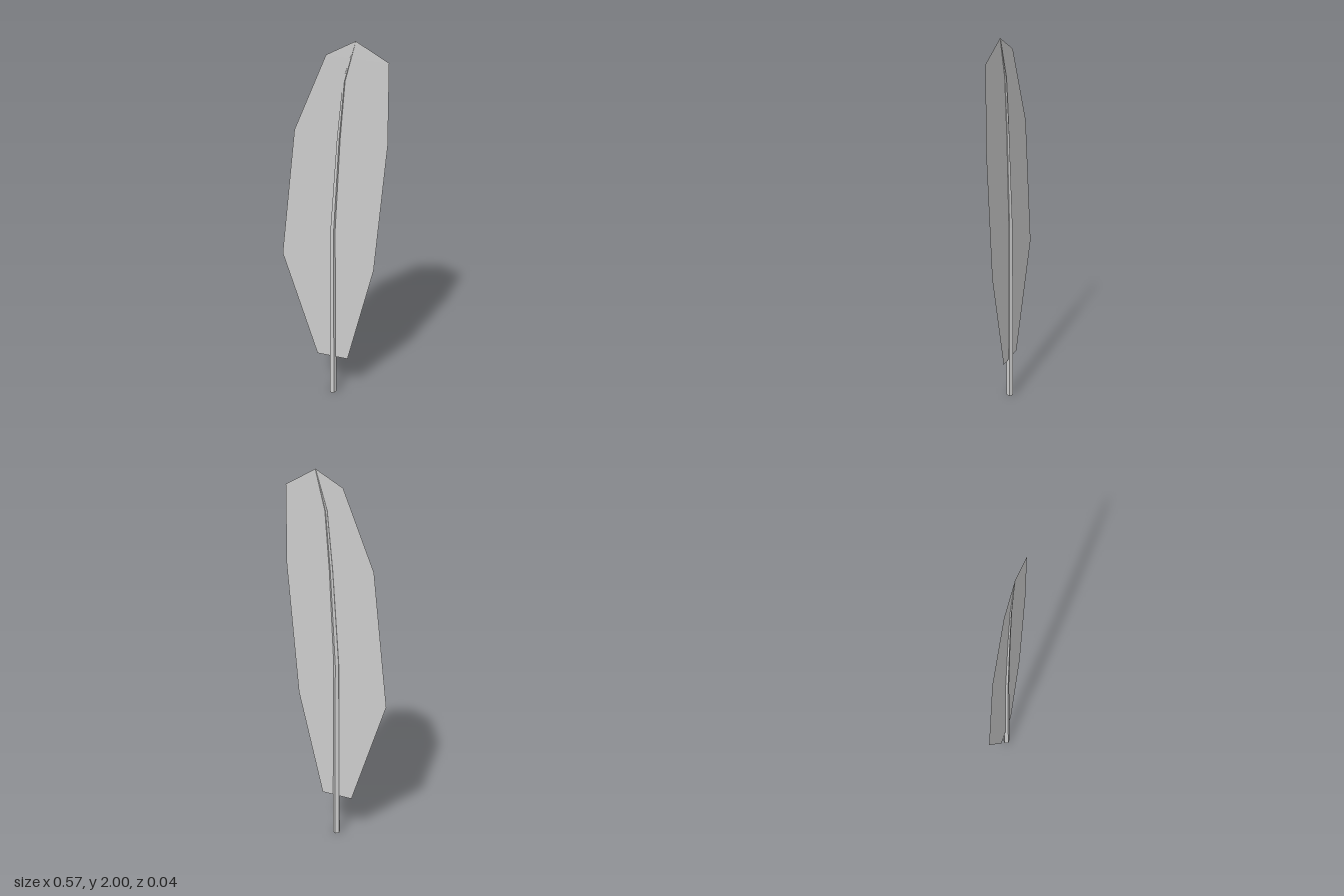
import * as THREE from 'three';

export function createModel() {
  const model = new THREE.Group();
  model.name = 'feather';

  const grey = new THREE.MeshStandardMaterial({ color: 0xcccccc, flatShading: true, side: THREE.DoubleSide });
  grey.name = 'feather grey';

  // Shaft: five-sided tube, bent and tapered ring by ring
  const rings = [ // height, x offset, radius
    [0, 0, 0.02],
    [1, 0, 0.015],
    [1.5, 0.03, 0.01],
    [1.8, 0.057, 0.007],
    [2, 0.115, 0.001],
  ];
  const last = rings.length - 1;
  const shaftGeo = new THREE.CylinderGeometry(1, 1, last, 5, last, false, Math.PI);
  const pos = shaftGeo.attributes.position;
  for (let i = 0; i < pos.count; i++) {
    const [y, x, r] = rings[Math.round(pos.getY(i) + last / 2)];
    pos.setXYZ(i, x + pos.getX(i) * r, y, pos.getZ(i) * r);
  }
  shaftGeo.computeVertexNormals();
  const shaft = new THREE.Mesh(shaftGeo, grey);
  shaft.name = 'shaft';
  model.add(shaft);

  // Vane: flat angular blade through the middle of the shaft
  const outline = [
    [-0.09, 0.23], [0.085, 0.23], [0.225, 0.8], [0.285, 1.5], [0.282, 1.91],
    [0.115, 2], [-0.035, 1.92], [-0.205, 1.52], [-0.285, 0.815],
  ].map(([x, y]) => new THREE.Vector2(x, y));
  const vane = new THREE.Mesh(new THREE.ShapeGeometry(new THREE.Shape(outline)), grey);
  vane.name = 'vane';
  model.add(vane);

  return model;
}
